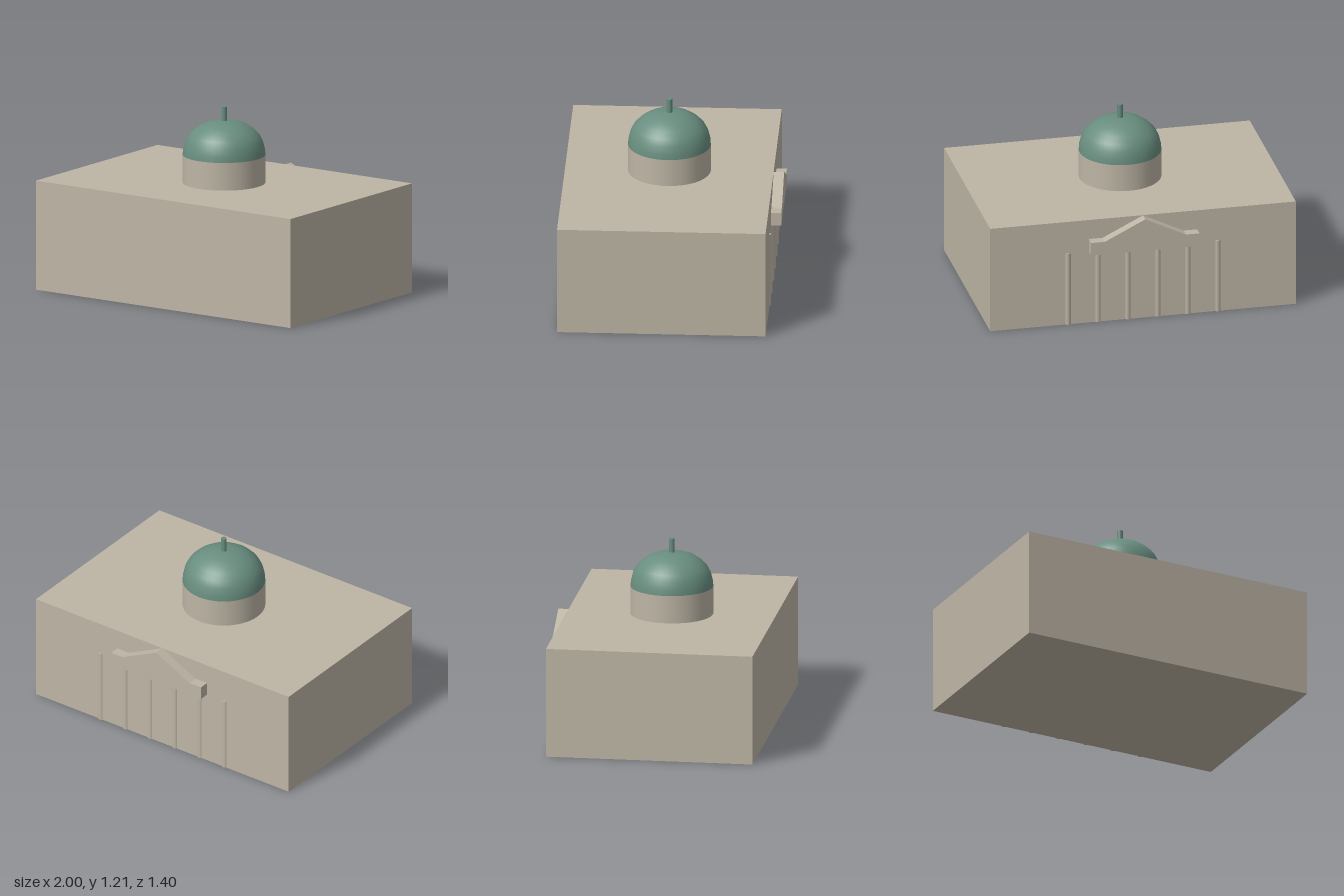
import * as THREE from 'three';

export function createModel() {
  const stone = new THREE.MeshStandardMaterial({ name: 'warm stone', color: 0xbdb5a5 });
  const copper = new THREE.MeshStandardMaterial({ name: 'green copper', color: 0x688d7f });
  const model = new THREE.Group();
  model.name = 'domedHall';

  function add(name, geometry, material, x, y, z) {
    const mesh = new THREE.Mesh(geometry, material);
    mesh.name = name;
    mesh.position.set(x, y, z);
    model.add(mesh);
    return mesh;
  }

  // Main block
  const backZ = -0.633;
  const height = 0.712;
  add('mainBlock', new THREE.BoxGeometry(2, height, 0.7 - backZ), stone, 0, height / 2, (0.7 + backZ) / 2);

  // Round drum, dome and finial
  const domeZ = 0.033;
  add('drum', new THREE.CylinderGeometry(0.265, 0.265, 0.185, 40, 1, true), stone, 0, 0.8, domeZ);
  const domeProfile = [
    [0.265, 0.885], [0.262, 0.925], [0.25, 0.975], [0.228, 1.018],
    [0.192, 1.055], [0.148, 1.085], [0.1, 1.103], [0.05, 1.112], [0, 1.115],
  ].map(([r, y]) => new THREE.Vector2(r, y));
  add('dome', new THREE.LatheGeometry(domeProfile, 40), copper, 0, 0, domeZ);
  add('finial', new THREE.CylinderGeometry(0.018, 0.018, 0.105, 16), copper, 0, 1.1525, domeZ);

  // Portico beam and pediment, one extruded outline on the back wall
  const outline = new THREE.Shape([
    [-0.355, 0.493], [0.355, 0.493], [0.355, 0.58], [0.265, 0.58],
    [0, 0.711], [-0.265, 0.58], [-0.355, 0.58],
  ].map(([x, y]) => new THREE.Vector2(x, y)));
  add('pediment', new THREE.ExtrudeGeometry(outline, { depth: 0.08, bevelEnabled: false }), stone, 0, 0, -0.7);

  // Row of engaged columns
  for (let i = 0; i < 6; i++) {
    add('column', new THREE.CylinderGeometry(0.022, 0.022, 0.493, 16), stone, -0.49 + i * 0.196, 0.2465, -0.62);
  }

  return model;
}
